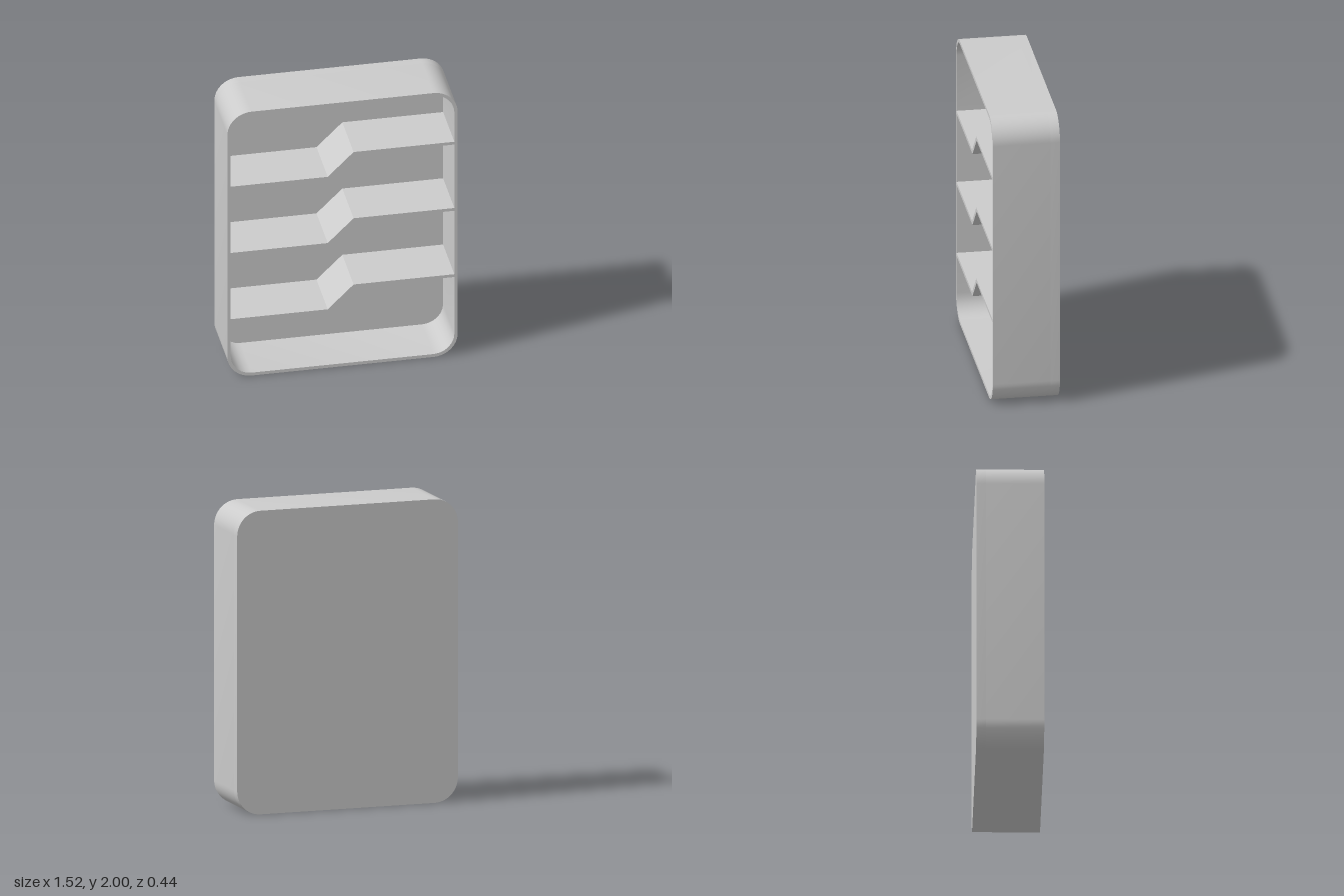
import * as THREE from 'three';
import { toCreasedNormals } from 'three/addons/utils/BufferGeometryUtils.js';

const W = 0.76, H = 2, D = 0.44;   // half width, height, depth
const WALL = 0.022, BACK = 0.062, R = 0.16;
const SHELVES = 3, PITCH = 0.502;

// Rounded outline, inset by t
function outline(t) {
  const x = W - t, y0 = t, y1 = H - t, r = R - t;
  const s = new THREE.Shape();
  s.moveTo(-x + r, y0);
  s.lineTo(x - r, y0);
  s.absarc(x - r, y0 + r, r, -Math.PI / 2, 0);
  s.lineTo(x, y1 - r);
  s.absarc(x - r, y1 - r, r, 0, Math.PI / 2);
  s.lineTo(-x + r, y1);
  s.absarc(-x + r, y1 - r, r, Math.PI / 2, Math.PI);
  s.lineTo(-x, y0 + r);
  s.absarc(-x + r, y0 + r, r, Math.PI, Math.PI * 1.5);
  return s;
}

// Stepped shelf edges, left to right
const xi = W - WALL, r = R - WALL;
const shelfTop = i => [[-xi, 0.443], [-0.098, 0.443], [0.073, 0.611], [xi, 0.611]]
  .map(([x, y]) => new THREE.Vector2(x, y + i * PITCH));
const shelfUnder = i => [[-xi, 0.42], [-0.082, 0.42], [0.09, 0.59], [xi, 0.59]]
  .map(([x, y]) => new THREE.Vector2(x, y + i * PITCH));

// Rounded end edges of the lowest and highest compartments, left to right
const arc = (cx, cy, a0, a1) =>
  new THREE.EllipseCurve(cx, cy, r, r, a0, a1, a1 < a0).getPoints(6);
const floorEdge = [
  ...arc(-xi + r, WALL + r, Math.PI, Math.PI * 1.5),
  ...arc(xi - r, WALL + r, Math.PI * 1.5, Math.PI * 2),
];
const ceilingEdge = [
  ...arc(-xi + r, H - WALL - r, Math.PI, Math.PI / 2),
  ...arc(xi - r, H - WALL - r, Math.PI / 2, 0),
];

function extrude(shape, depth, z, name) {
  const geo = new THREE.ExtrudeGeometry(shape, { depth, bevelEnabled: false, curveSegments: 6 });
  const mesh = new THREE.Mesh(
    toCreasedNormals(geo, Math.PI / 6),
    new THREE.MeshStandardMaterial({ color: 0xcccccc })
  );
  mesh.position.z = z;
  mesh.name = name;
  return mesh;
}

export function createModel() {
  const group = new THREE.Group();
  group.name = 'shelfUnit';

  // Outer frame and stepped shelves, cut out as one body
  const body = outline(0);
  for (let i = 0; i <= SHELVES; i++) {
    const lower = i === 0 ? floorEdge : shelfTop(i - 1);
    const upper = i === SHELVES ? ceilingEdge : shelfUnder(i);
    body.holes.push(new THREE.Path([...lower, ...upper.slice().reverse()]));
  }
  group.add(extrude(body, D - BACK, -D / 2 + BACK, 'frameAndShelves'));

  // Solid back
  group.add(extrude(outline(0), BACK, -D / 2, 'backPanel'));
  return group;
}
